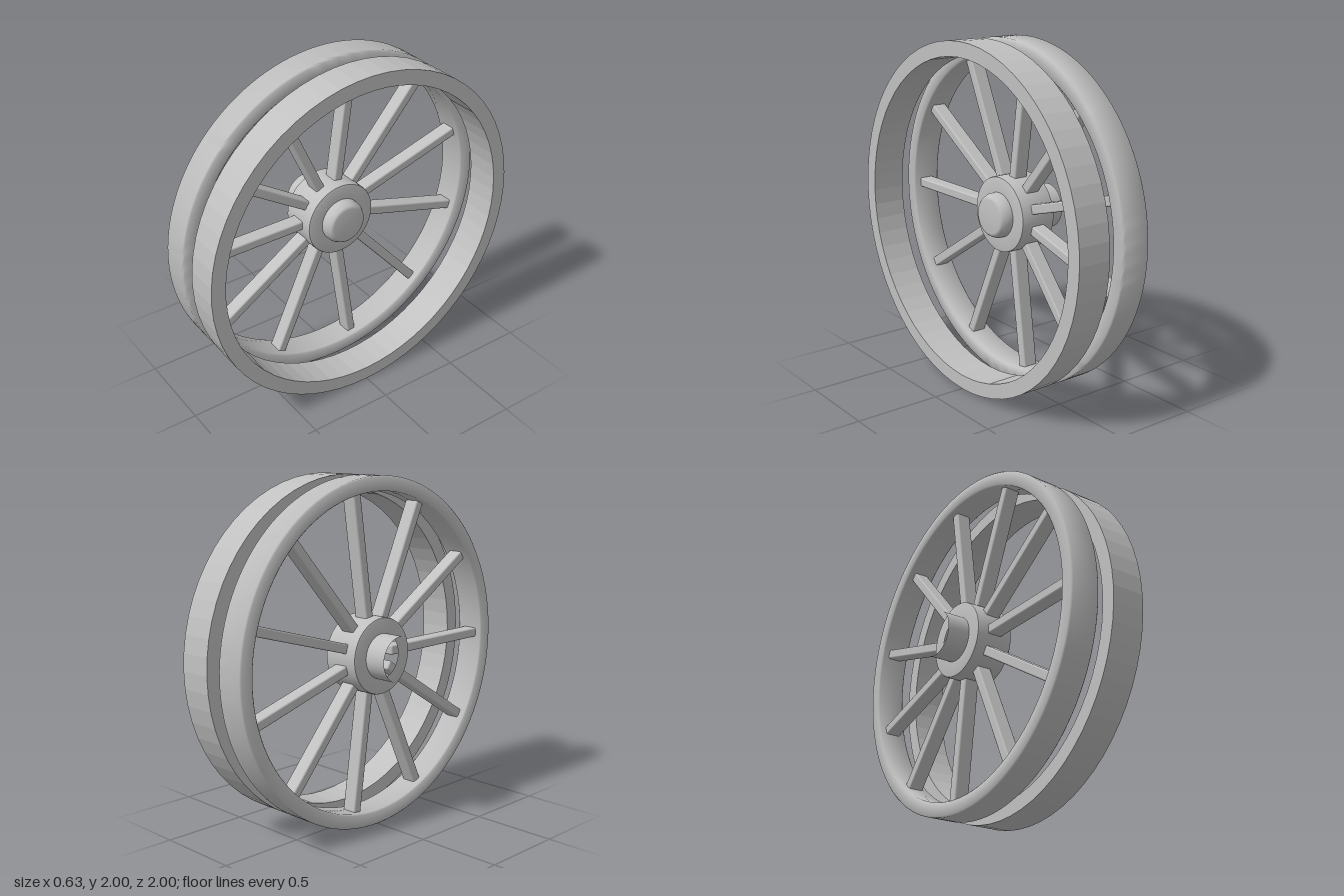
import * as THREE from 'three';
import { toCreasedNormals } from 'three/addons/utils/BufferGeometryUtils.js';
import { RoundedBoxGeometry } from 'three/addons/geometries/RoundedBoxGeometry.js';

const grey = new THREE.MeshStandardMaterial({ color: 0xc0c0c0 });
grey.name = 'plain grey';

// Turns a profile of [x, radius] points around the x axis.
function turned(name, profile, segments, crease) {
  const points = profile.map(([x, r]) => new THREE.Vector2(r, x));
  const geometry = new THREE.LatheGeometry(points, segments);
  geometry.rotateZ(-Math.PI / 2);
  const mesh = new THREE.Mesh(toCreasedNormals(geometry, crease), grey);
  mesh.name = name;
  return mesh;
}

// Closed ring profile with chamfered corners.
function ringProfile(x0, x1, inner, outer, b) {
  if (!b) return [[x0, inner], [x0, outer], [x1, outer], [x1, inner], [x0, inner]];
  return [
    [x0, inner + b], [x0, outer - b], [x0 + b, outer], [x1 - b, outer],
    [x1, outer - b], [x1, inner + b], [x1 - b, inner], [x0 + b, inner], [x0, inner + b],
  ];
}

export function createModel() {
  const model = new THREE.Group();
  model.name = 'spokedWheel';

  const wheel = new THREE.Group();
  wheel.name = 'wheel';
  wheel.position.y = 1;
  model.add(wheel);

  // Wheel rim, smooth, and the separate faceted tyre band beside it
  wheel.add(turned('rim', ringProfile(-0.155, 0.02, 0.915, 1, 0.008), 128, 0.9));
  wheel.add(turned('tyreBand', ringProfile(0.115, 0.315, 0.915, 1, 0), 64, 0.03));

  // Hub with an open axle sleeve on one side and a chamfered cap on the other
  wheel.add(turned('hub', [
    [-0.315, 0.13], [-0.18, 0.13], [-0.18, 0.208], [-0.177, 0.217], [-0.168, 0.22],
    [0.033, 0.22], [0.042, 0.217], [0.045, 0.208], [0.045, 0.13], [0.075, 0.13],
    [0.105, 0.116], [0.113, 0.108], [0.115, 0.098], [0.115, 0],
  ], 64, 0.9));

  // Spokes, the first pointing forwards
  const spokeGeometry = new RoundedBoxGeometry(0.09, 0.056, 0.78, 2, 0.01);
  spokeGeometry.translate(-0.068, 0, 0.54);
  const spokes = new THREE.Group();
  spokes.name = 'spokes';
  const count = 11;
  for (let i = 0; i < count; i++) {
    const spoke = new THREE.Mesh(spokeGeometry, grey);
    spoke.name = 'spoke' + (i + 1);
    spoke.rotation.x = (i / count) * Math.PI * 2;
    spokes.add(spoke);
  }
  wheel.add(spokes);

  return model;
}
